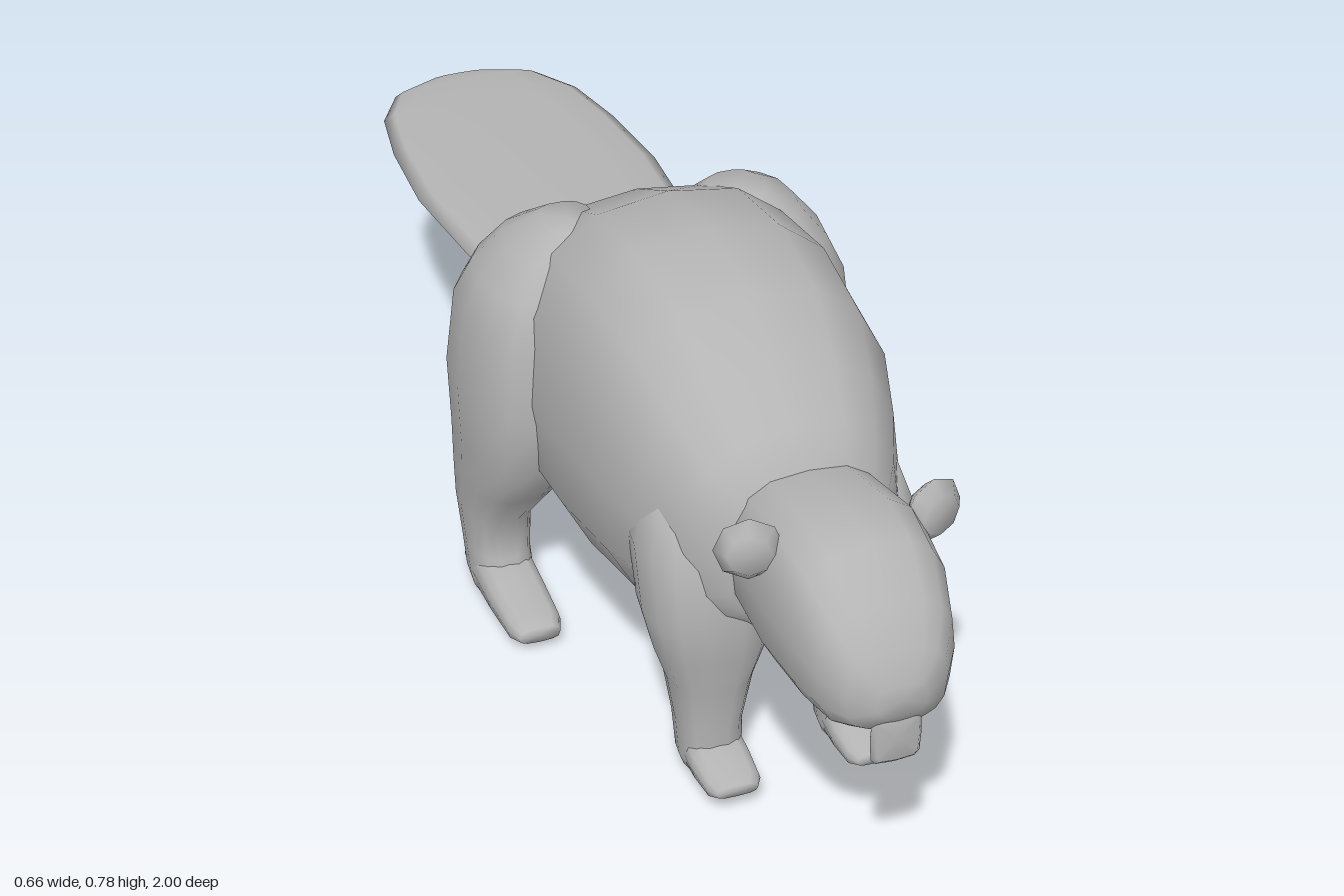
import * as THREE from 'three';

const fur = new THREE.MeshStandardMaterial({ color: 0xb4b4b4 });
fur.name = 'grey';

// Superellipse corner: unit point at an angle, squarer as n grows
function corner(angle, n) {
  const c = Math.cos(angle), s = Math.sin(angle);
  return [Math.sign(c) * Math.abs(c) ** (2 / n), Math.sign(s) * Math.abs(s) ** (2 / n)];
}

// Skin a list of closed rings and cap both ends
function skin(rings) {
  const m = rings[0].length, pos = rings.flat(2), index = [];
  for (let i = 0; i < rings.length - 1; i++) {
    for (let j = 0; j < m; j++) {
      const a = i * m + j, b = i * m + (j + 1) % m;
      index.push(a, b, b + m, a, b + m, a + m);
    }
  }
  [0, rings.length - 1].forEach((r, end) => {
    const centre = pos.length / 3;
    for (let k = 0; k < 3; k++) pos.push(rings[r].reduce((sum, p) => sum + p[k], 0) / m);
    for (let j = 0; j < m; j++) {
      const a = r * m + j, b = r * m + (j + 1) % m;
      if (end) index.push(centre, a, b);
      else index.push(centre, b, a);
    }
  });
  const g = new THREE.BufferGeometry();
  g.setAttribute('position', new THREE.Float32BufferAttribute(pos, 3));
  g.setIndex(index);
  g.computeVertexNormals();
  return g;
}

// Loft forward along z; sections are [z, bottom, top, halfWidth], widest at fraction "wide" of the height
function loftZ(sections, { n = 2.4, sides = 16, wide = 0.5, x = 0 } = {}) {
  return skin(sections.map(([z, lo, hi, w]) => Array.from({ length: sides }, (_, j) => {
    const [c, s] = corner(j / sides * Math.PI * 2, n);
    const mid = lo + (hi - lo) * wide;
    return [x + c * w, mid + s * (s > 0 ? hi - mid : mid - lo), z];
  })));
}

// Loft upward along y; sections are [y, zBack, zFront, xInner, xOuter]
function loftY(sections, side, { n = 2.5, sides = 14 } = {}) {
  return skin(sections.map(([y, z0, z1, x0, x1]) => Array.from({ length: sides }, (_, j) => {
    const [c, s] = corner(j / sides * Math.PI * 2, n);
    return [side * (x0 + x1) / 2 + c * (x1 - x0) / 2, y, (z0 + z1) / 2 - s * (z1 - z0) / 2];
  })));
}

export function createModel() {
  const model = new THREE.Group();
  const add = (name, geometry) => {
    const mesh = new THREE.Mesh(geometry, fur);
    mesh.name = name;
    model.add(mesh);
    return mesh;
  };

  // Humped body
  add('body', loftZ([
    [-0.19, 0.33, 0.51, 0.14], [-0.165, 0.25, 0.59, 0.2], [-0.08, 0.19, 0.685, 0.25],
    [0.06, 0.16, 0.755, 0.256], [0.23, 0.17, 0.78, 0.258], [0.4, 0.2, 0.755, 0.243],
    [0.5, 0.23, 0.69, 0.213], [0.58, 0.27, 0.625, 0.178], [0.65, 0.33, 0.585, 0.135],
  ], { wide: 0.48, n: 2.5 }));

  // Head with rounded muzzle
  add('head', loftZ([
    [0.55, 0.34, 0.57, 0.11], [0.65, 0.335, 0.59, 0.125], [0.78, 0.33, 0.615, 0.135],
    [0.87, 0.33, 0.598, 0.127], [0.94, 0.335, 0.545, 0.108], [0.98, 0.355, 0.488, 0.08],
    [1, 0.385, 0.44, 0.04],
  ], { n: 2.8 }));

  // Front teeth
  add('teeth', loftZ([
    [0.972, 0.298, 0.38, 0.036], [0.982, 0.292, 0.385, 0.041], [0.99, 0.3, 0.375, 0.034],
  ], { n: 5, sides: 12 }));

  // Flat paddle tail
  add('tail', loftZ([
    [-1, 0.432, 0.442, 0.05], [-0.96, 0.424, 0.45, 0.135], [-0.88, 0.421, 0.454, 0.182],
    [-0.75, 0.422, 0.459, 0.205], [-0.57, 0.427, 0.465, 0.217], [-0.35, 0.434, 0.472, 0.2],
    [-0.17, 0.44, 0.475, 0.15], [-0.1, 0.443, 0.472, 0.12],
  ], { n: 2.6, sides: 12 }));

  for (const side of [1, -1]) {
    const label = side > 0 ? 'left' : 'right';

    // Ear: small thick hexagonal leaf, swept back
    const ear = add(label + 'Ear', loftZ([
      [-0.02, -0.034, 0.034, 0.034], [0, -0.053, 0.053, 0.053], [0.02, -0.034, 0.034, 0.034],
    ], { n: 2, sides: 8 }));
    ear.position.set(side * 0.146, 0.563, 0.768);
    ear.rotation.y = side * 0.3;

    // Hind leg: broad thigh tapering to the heel
    add(label + 'HindLeg', loftY([
      [0.01, -0.1, 0.02, 0.215, 0.305], [0.03, -0.112, 0.03, 0.208, 0.31], [0.08, -0.13, 0.005, 0.207, 0.31],
      [0.15, -0.158, 0, 0.2, 0.313], [0.22, -0.17, 0.055, 0.17, 0.318], [0.3, -0.18, 0.11, 0.13, 0.323],
      [0.42, -0.19, 0.148, 0.08, 0.331], [0.55, -0.175, 0.13, 0.06, 0.318], [0.61, -0.15, 0.11, 0.06, 0.29],
      [0.665, -0.11, 0.08, 0.08, 0.245], [0.7, -0.06, 0.04, 0.1, 0.19],
    ], side));
    add(label + 'HindFoot', loftZ([
      [-0.1, 0.01, 0.06, 0.042], [-0.04, 0.002, 0.08, 0.05], [0.04, 0.004, 0.064, 0.05],
      [0.13, 0.006, 0.053, 0.046], [0.16, 0.016, 0.043, 0.035],
    ], { n: 3, sides: 12, x: side * 0.26 }));

    // Front leg: shoulder down to the paw
    add(label + 'FrontLeg', loftY([
      [0.02, 0.505, 0.59, 0.075, 0.16], [0.04, 0.496, 0.595, 0.068, 0.167], [0.1, 0.48, 0.59, 0.064, 0.169],
      [0.18, 0.465, 0.6, 0.048, 0.182], [0.24, 0.45, 0.61, 0.025, 0.203], [0.31, 0.43, 0.618, 0.015, 0.22],
      [0.42, 0.4, 0.61, 0.015, 0.225], [0.5, 0.42, 0.56, 0.04, 0.2],
    ], side));
    add(label + 'FrontFoot', loftZ([
      [0.51, 0.024, 0.06, 0.04], [0.56, 0.018, 0.08, 0.048], [0.6, 0.019, 0.07, 0.049],
      [0.65, 0.021, 0.06, 0.045], [0.668, 0.03, 0.05, 0.034],
    ], { n: 3, sides: 12, x: side * 0.117 }));
  }
  return model;
}
